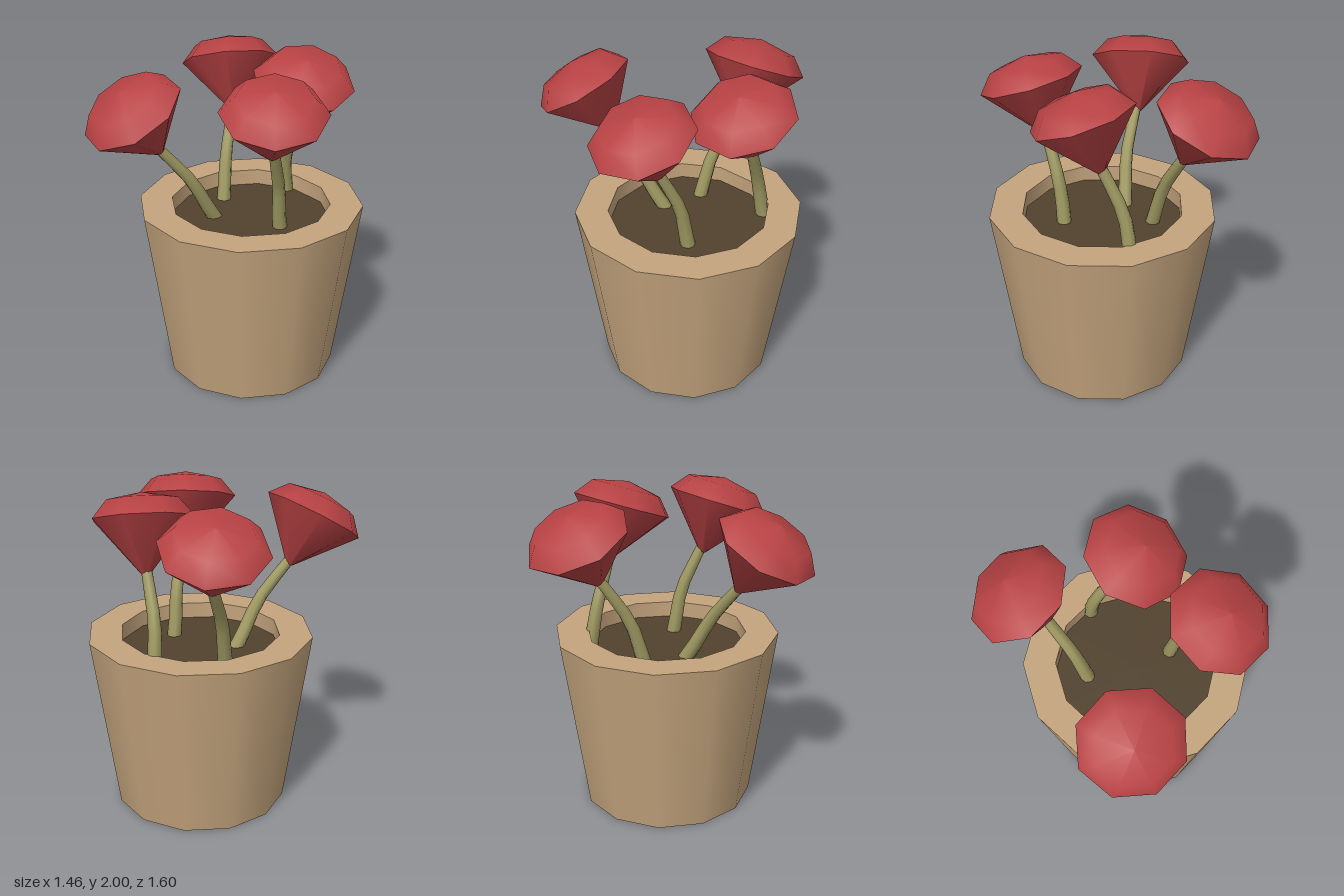
import * as THREE from 'three';

const paint = (name, color) => {
  const m = new THREE.MeshStandardMaterial({ color });
  m.name = name;
  return m;
};

// one smooth turned surface; profile points are [radius, height]
function turned(name, material, profile, sides, start = 0) {
  const points = profile.map(([r, y]) => new THREE.Vector2(r, y));
  const mesh = new THREE.Mesh(new THREE.LatheGeometry(points, sides, start), material);
  mesh.name = name;
  return mesh;
}

// bent tube that narrows towards its top
function taperedStem(points, material, rBase, rTop) {
  const curve = new THREE.CatmullRomCurve3(points.map(p => new THREE.Vector3(...p)));
  const rings = 5, sides = 8;
  const geo = new THREE.TubeGeometry(curve, rings, 1, sides);
  const pos = geo.attributes.position;
  const v = new THREE.Vector3();
  for (let i = 0; i < pos.count; i++) {
    const t = Math.floor(i / (sides + 1)) / rings;
    const c = curve.getPointAt(t);
    v.fromBufferAttribute(pos, i).sub(c).multiplyScalar(rBase + (rTop - rBase) * t).add(c);
    pos.setXYZ(i, v.x, v.y, v.z);
  }
  const mesh = new THREE.Mesh(geo, material);
  mesh.name = 'stem';
  return mesh;
}

export function createModel() {
  const clay = paint('clay', 0xc4a47d);
  const earth = paint('soil', 0x51422d);
  const green = paint('stemGreen', 0xa09a62);
  const red = paint('petalRed', 0xb84244);
  const model = new THREE.Group();
  model.name = 'pottedFlowers';

  // pot: twelve-sided, with a thick rim and recessed soil
  const pot = new THREE.Group();
  pot.name = 'pot';
  pot.position.set(0.045, 0, -0.08);
  pot.add(
    turned('potBottom', clay, [[0, 0], [0.535, 0]], 12),
    turned('potWall', clay, [[0.535, 0], [0.69, 1.1]], 12),
    turned('potRim', clay, [[0.69, 1.1], [0.49, 1.1]], 12),
    turned('potInside', clay, [[0.49, 1.1], [0.49, 1.0]], 12),
    turned('soil', earth, [[0.49, 1.0], [0, 1.0]], 12)
  );
  model.add(pot);

  // flowers: head centre, facing direction, spin in degrees, stem path
  const flowers = [
    { at: [-0.35, 1.765, 0.52], dir: [-0.21, 1, 0.56], spin: 5,
      stem: [[-0.13, 0.98, 0.05], [-0.15, 1.1, 0.12], [-0.18, 1.27, 0.21], [-0.28, 1.5, 0.37]] },
    { at: [-0.44, 1.81, -0.52], dir: [-0.35, 1, -0.33], spin: 13,
      stem: [[-0.24, 0.98, -0.18], [-0.255, 1.1, -0.21], [-0.28, 1.27, -0.26], [-0.345, 1.54, -0.42]] },
    { at: [0.225, 1.83, -0.365], dir: [0.28, 1, 0.25], spin: 22,
      stem: [[0, 0.98, -0.55], [0, 1.1, -0.53], [0.025, 1.27, -0.5], [0.14, 1.55, -0.435]] },
    { at: [0.405, 1.825, 0.205], dir: [0.23, 1, 0.28], spin: 9,
      stem: [[0.28, 0.98, -0.06], [0.283, 1.1, -0.04], [0.3, 1.27, -0.01], [0.345, 1.54, 0.11]] }
  ];
  const up = new THREE.Vector3(0, 1, 0);
  for (const f of flowers) {
    const flower = new THREE.Group();
    flower.name = 'flower';
    const head = new THREE.Group();
    head.name = 'flowerHead';
    const start = Math.PI / 2 - THREE.MathUtils.degToRad(f.spin);
    // cone-shaped underside and low domed top, meeting in a sharp edge
    head.add(
      turned('petalCone', red, [[0, -0.335], [0.02, -0.33], [0.31, 0]], 8, start),
      turned('petalDome', red, [[0.31, 0], [0.22, 0.105], [0, 0.15]], 8, start)
    );
    head.position.set(...f.at);
    head.quaternion.setFromUnitVectors(up, new THREE.Vector3(...f.dir).normalize());
    flower.add(head, taperedStem(f.stem, green, 0.045, 0.032));
    model.add(flower);
  }
  return model;
}
